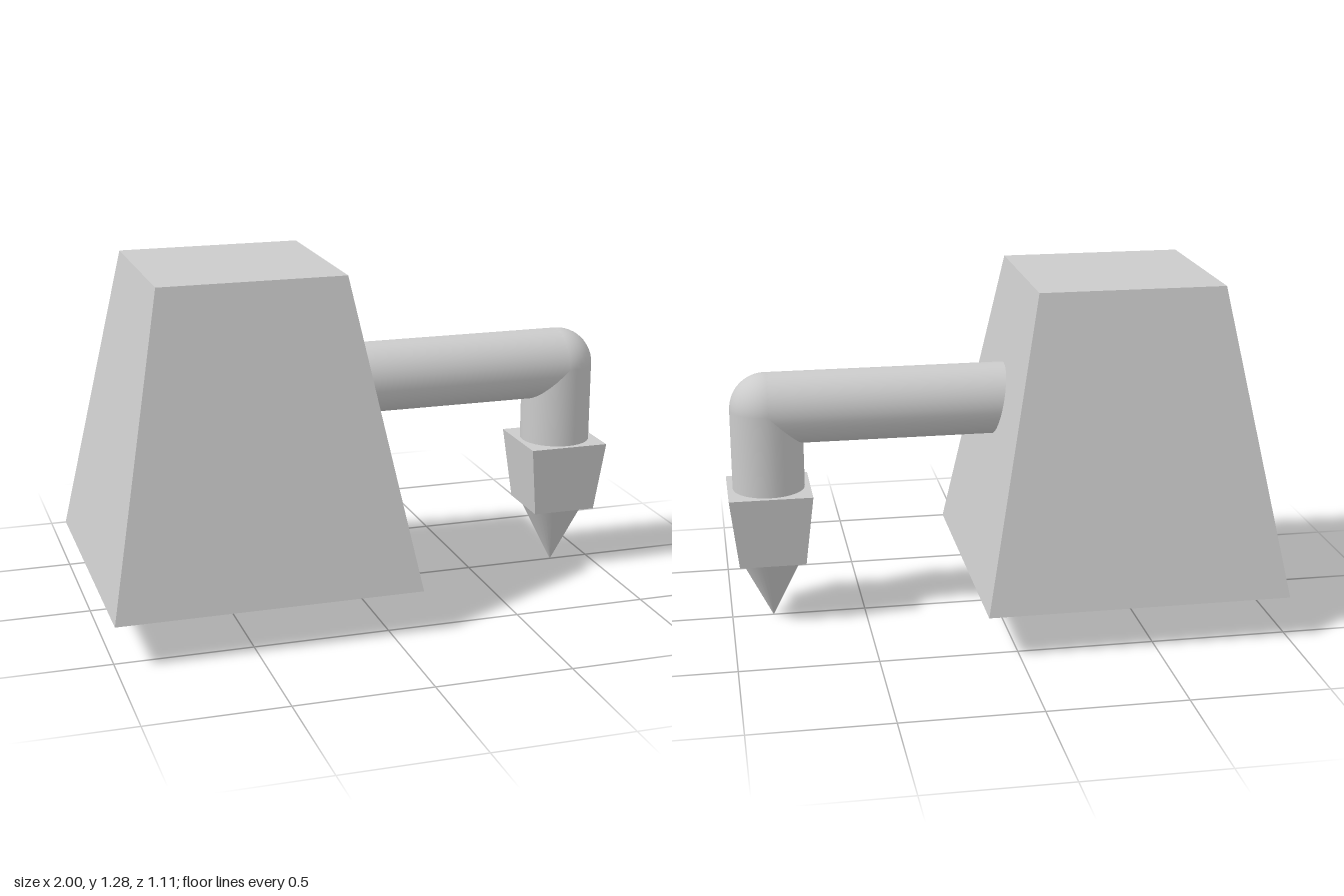
import * as THREE from 'three';

const smooth = new THREE.MeshStandardMaterial({ color: 0xcccccc });
const flat = new THREE.MeshStandardMaterial({ color: 0xcccccc, flatShading: true });

export function createModel() {
  const model = new THREE.Group();

  function add(name, geometry, material, x, y) {
    const mesh = new THREE.Mesh(geometry, material);
    mesh.name = name;
    mesh.position.set(x, y, 0);
    model.add(mesh);
    return mesh;
  }

  // Square block with tapered sides, given its half widths
  function taperedBlock(topHalf, bottomHalf, height) {
    return new THREE.CylinderGeometry(topHalf * Math.SQRT2, bottomHalf * Math.SQRT2, height, 4)
      .rotateY(Math.PI / 4);
  }

  const bodyX = -0.443, toolX = 0.846;
  const armY = 0.813, armRadius = 0.133;
  const blockTop = 0.51, blockBottom = 0.24;

  // Large tapered body
  add('body', taperedBlock(0.34, 0.557, 1.12), flat, bodyX, 0.72);

  // Horizontal arm, starting inside the body
  const armStart = -0.15;
  const armLength = toolX - armStart;
  add('upperArm', new THREE.CylinderGeometry(armRadius, armRadius, armLength, 32).rotateZ(Math.PI / 2),
    smooth, armStart + armLength / 2, armY);

  // Rounded elbow and the downward forearm
  add('elbow', new THREE.SphereGeometry(armRadius, 32, 24), smooth, toolX, armY);
  add('forearm', new THREE.CylinderGeometry(armRadius, armRadius, armY - blockTop, 32),
    smooth, toolX, (armY + blockTop) / 2);

  // Tapered tool holder with a pointed tip
  add('toolHolder', taperedBlock(0.153, 0.122, blockTop - blockBottom),
    flat, toolX, (blockTop + blockBottom) / 2);
  const tip = add('tip', new THREE.ConeGeometry(0.12, blockBottom, 32), smooth, toolX, blockBottom / 2);
  tip.rotation.x = Math.PI;

  return model;
}
